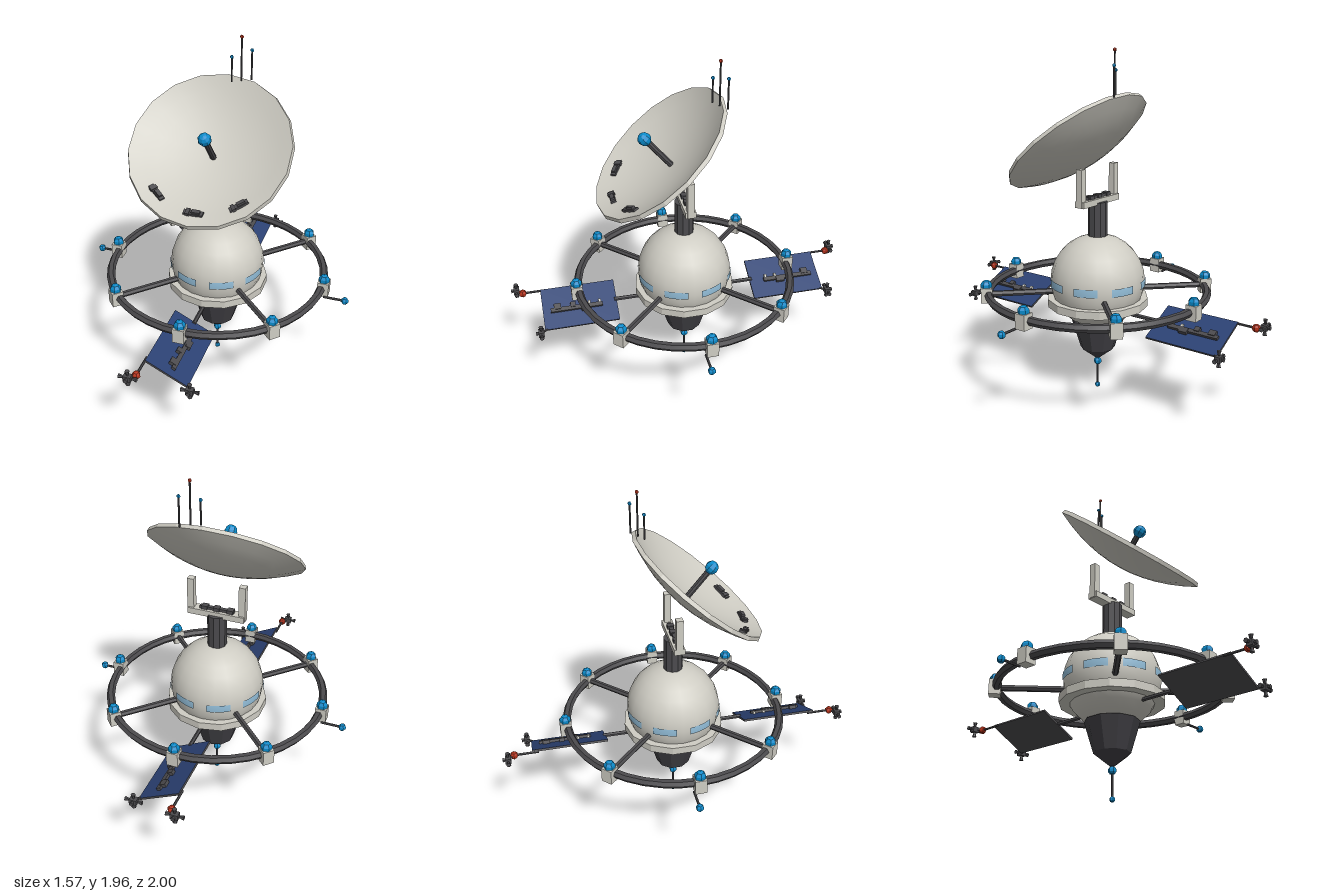
import * as THREE from 'three';
import { toCreasedNormals } from 'three/addons/utils/BufferGeometryUtils.js';

const mat = (name, color, flatShading = false) => Object.assign(new THREE.MeshStandardMaterial({ color, flatShading }), { name });
const hull = mat('hull grey', 0xcfcdc4);
const dark = mat('dark grey', 0x4c4b4e);
const engine = mat('engine charcoal', 0x414045);
const navy = mat('solar navy', 0x2c4274);
const glass = mat('window blue', 0x92bdd8);
const blue = mat('beacon blue', 0x0a8bcb);
const red = mat('beacon red', 0xb8331a);

export function createModel() {
  const model = new THREE.Group();
  model.name = 'spaceStation';

  const add = (parent, name, geo, material, x = 0, y = 0, z = 0) => {
    const m = new THREE.Mesh(geo, material);
    m.name = name;
    m.position.set(x, y, z);
    parent.add(m);
    return m;
  };
  const group = (parent, name, x = 0, y = 0, z = 0) => {
    const g = new THREE.Group();
    g.name = name;
    g.position.set(x, y, z);
    parent.add(g);
    return g;
  };
  const box = (parent, name, w, h, d, material, x, y, z) =>
    add(parent, name, new THREE.BoxGeometry(w, h, d), material, x, y, z);
  const faceted = (geo, angle = 0.3) => toCreasedNormals(geo, angle);
  const ball = (parent, name, r, material, x, y, z) =>
    add(parent, name, faceted(new THREE.SphereGeometry(r, 6, 5)), material, x, y, z);
  // Round bar between two points
  const rod = (parent, name, a, b, r, material, sides = 6) => {
    const from = new THREE.Vector3(...a), to = new THREE.Vector3(...b);
    const dir = to.clone().sub(from);
    const m = add(parent, name, faceted(new THREE.CylinderGeometry(r, r, dir.length(), sides)), material);
    m.position.copy(from).add(to).multiplyScalar(0.5);
    m.quaternion.setFromUnitVectors(new THREE.Vector3(0, 1, 0), dir.normalize());
    return m;
  };

  // Central sphere with collar and windows
  add(model, 'body', new THREE.SphereGeometry(0.27, 20, 14), hull, 0, 0.665, 0);
  add(model, 'collar', faceted(new THREE.CylinderGeometry(0.29, 0.29, 0.045, 14)), hull, 0, 0.549, 0);
  for (let i = 0; i < 8; i++) {
    const mid = (i + 0.5) * Math.PI / 4, half = 0.25;
    add(model, 'window', new THREE.SphereGeometry(0.274, 5, 1, mid - half, half * 2, Math.PI / 2 - 0.095, 0.165),
      glass, 0, 0.665, 0);
  }

  // Engine cone and lower probe
  const cone = [[0, 0.432], [0.152, 0.432], [0.1, 0.26], [0.012, 0.19], [0, 0.19]];
  const coneGeo = new THREE.LatheGeometry(cone.reverse().map(p => new THREE.Vector2(...p)), 10);
  add(model, 'engineCone', faceted(coneGeo), engine);
  rod(model, 'lowerProbe', [0, 0.02, 0], [0, 0.2, 0], 0.007, dark);
  ball(model, 'probeBall', 0.023, blue, 0, 0.168, 0);
  ball(model, 'probeTip', 0.016, blue, 0, 0.018, 0);

  // Outer ring
  const ring = add(model, 'outerRing', faceted(new THREE.TorusGeometry(0.622, 0.024, 6, 40), 0.4), dark, 0, 0.61, 0);
  ring.rotation.x = Math.PI / 2;

  // Ring nodes with beacons, spokes on the diagonals
  for (let i = 0; i < 8; i++) {
    const arm = group(model, 'ringNode');
    arm.rotation.y = i * Math.PI / 4;
    box(arm, 'nodeBox', 0.064, 0.085, 0.064, hull, 0.632, 0.608, 0);
    ball(arm, 'nodeBeacon', 0.033, blue, 0.632, 0.66, 0);
    if (i % 2) rod(arm, 'spoke', [0.22, 0.61, 0], [0.61, 0.61, 0], 0.017, dark);
    if (i % 4 === 0) {
      rod(arm, 'sideProbe', [0.64, 0.565, 0.033], [0.765, 0.565, 0.033], 0.007, dark);
      ball(arm, 'sideProbeBall', 0.022, blue, 0.762, 0.565, 0.033);
    }
  }

  // Thruster cluster: dark cube with small flared nozzles
  const thruster = (x, y, z, s) => {
    const g = group(model, 'thruster', x, y, z);
    box(g, 'thrusterBlock', 0.042, 0.032, 0.032, dark, 0, 0, 0);
    for (const [dx, dy, dz] of [[1, 0, 0], [-1, 0, 0], [0, 1, 0], [0, -1, 0], [0, 0, s]]) {
      const d = dz ? 0.017 : dx ? 0.036 : 0.031;
      const n = add(g, 'nozzle', faceted(new THREE.CylinderGeometry(0.013, 0.006, 0.026, 6)), dark, dx * d, dy * d, dz * d);
      n.quaternion.setFromUnitVectors(new THREE.Vector3(0, 1, 0), new THREE.Vector3(dx, dy, dz));
    }
  };

  // Solar wings front and back, both tilted the same way
  for (const s of [1, -1]) {
    rod(model, 'wingArm', [0, 0.508, s * 0.2], [0, 0.508, s * 0.42], 0.012, dark);
    const wing = group(model, 'solarWing', 0, 0.503, s * 0.622);
    wing.rotation.z = -0.464;
    box(wing, 'solarPanel', 0.256, 0.012, 0.43, [dark, dark, navy, dark, dark, dark], 0, 0, 0);
    box(wing, 'panelStrip', 0.024, 0.016, 0.3, dark, 0.018, 0.013, s * 0.02);
    for (const [x, z, w, l] of [[0, 0.13, 0.035, 0.04], [0, 0.04, 0.03, 0.03], [0.03, -0.03, 0.03, 0.05]])
      box(wing, 'panelFitting', w, 0.022, l, dark, x, 0.015, s * z);
    for (const z of [-0.115, -0.055])
      box(wing, 'panelClip', 0.03, 0.014, 0.014, hull, 0.003, 0.013, s * z);

    rod(model, 'beaconRod', [-0.118, 0.553, s * 0.8], [-0.118, 0.553, s * 0.95], 0.007, dark);
    ball(model, 'wingBeacon', 0.023, red, -0.118, 0.553, s * 0.938);
    thruster(-0.15, 0.555, s * 0.972, s);
    rod(model, 'thrusterMount', [-0.118, 0.553, s * 0.938], [-0.15, 0.555, s * 0.972], 0.007, dark);
    thruster(0.135, 0.449, s * 0.86, s);
    rod(model, 'thrusterMount', [0.11, 0.449, s * 0.825], [0.135, 0.449, s * 0.86], 0.007, dark);
  }

  // Neck and dish yoke
  add(model, 'neck', faceted(new THREE.CylinderGeometry(0.055, 0.055, 0.23, 10)), dark, 0, 1.01, 0);
  box(model, 'yokeBase', 0.33, 0.035, 0.06, hull, 0, 1.13, 0);
  for (const s of [1, -1]) box(model, 'yokeArm', 0.038, 0.21, 0.038, hull, s * 0.15, 1.22, 0);
  box(model, 'yokeFitting', 0.2, 0.016, 0.022, dark, 0, 1.155, 0);
  for (const x of [-0.08, 0, 0.07]) box(model, 'yokeFitting', 0.035, 0.024, 0.036, dark, x, 1.156, 0);

  // Dish: thin shell, tilted up and forward
  const dish = group(model, 'dishAssembly', 0, 1.455, 0.147);
  dish.rotation.x = 0.695;
  const profile = [];
  const R = 0.445, steps = 6;
  for (let i = 0; i <= steps; i++) {
    const t = i / steps;
    profile.push(new THREE.Vector2(R * t, -0.137 + 0.115 * t * t));
  }
  for (let i = steps; i >= 0; i--) {
    const t = i / steps;
    profile.push(new THREE.Vector2((R - 0.008) * t, -0.118 + 0.118 * t * t));
  }
  add(dish, 'dish', faceted(new THREE.LatheGeometry(profile, 18)), hull);
  rod(dish, 'feedRod', [0, -0.125, 0], [0, 0.09, 0], 0.017, dark, 8);
  add(dish, 'feedBall', faceted(new THREE.SphereGeometry(0.037, 8, 6)), blue, 0, 0.1, 0);

  // Fittings along the lower part of the dish
  for (const a of [-0.68, 0, 0.68]) {
    const spin = group(dish, 'dishFitting');
    spin.rotation.y = a;
    const f = group(spin, 'dishFittingParts', 0, -0.038, 0.355);
    f.rotation.x = -0.41;
    box(f, 'fittingPlate', 0.105, 0.014, 0.03, dark, 0, 0.006, 0);
    box(f, 'fittingBlock', 0.045, 0.026, 0.022, dark, 0.015, 0.012, 0);
    box(f, 'fittingClip', 0.02, 0.02, 0.04, dark, -0.03, 0.008, 0);
  }

  // Whip aerials on the upper rim
  for (const [x, top, z, m] of [[0.032, 1.85, -0.142, blue], [0.077, 1.955, -0.168, red], [0.125, 1.878, -0.198, blue]]) {
    rod(model, 'aerial', [x, 1.715, z], [x, top, z], 0.005, dark);
    ball(model, 'aerialTip', 0.01, m, x, top, z);
  }
  return model;
}
